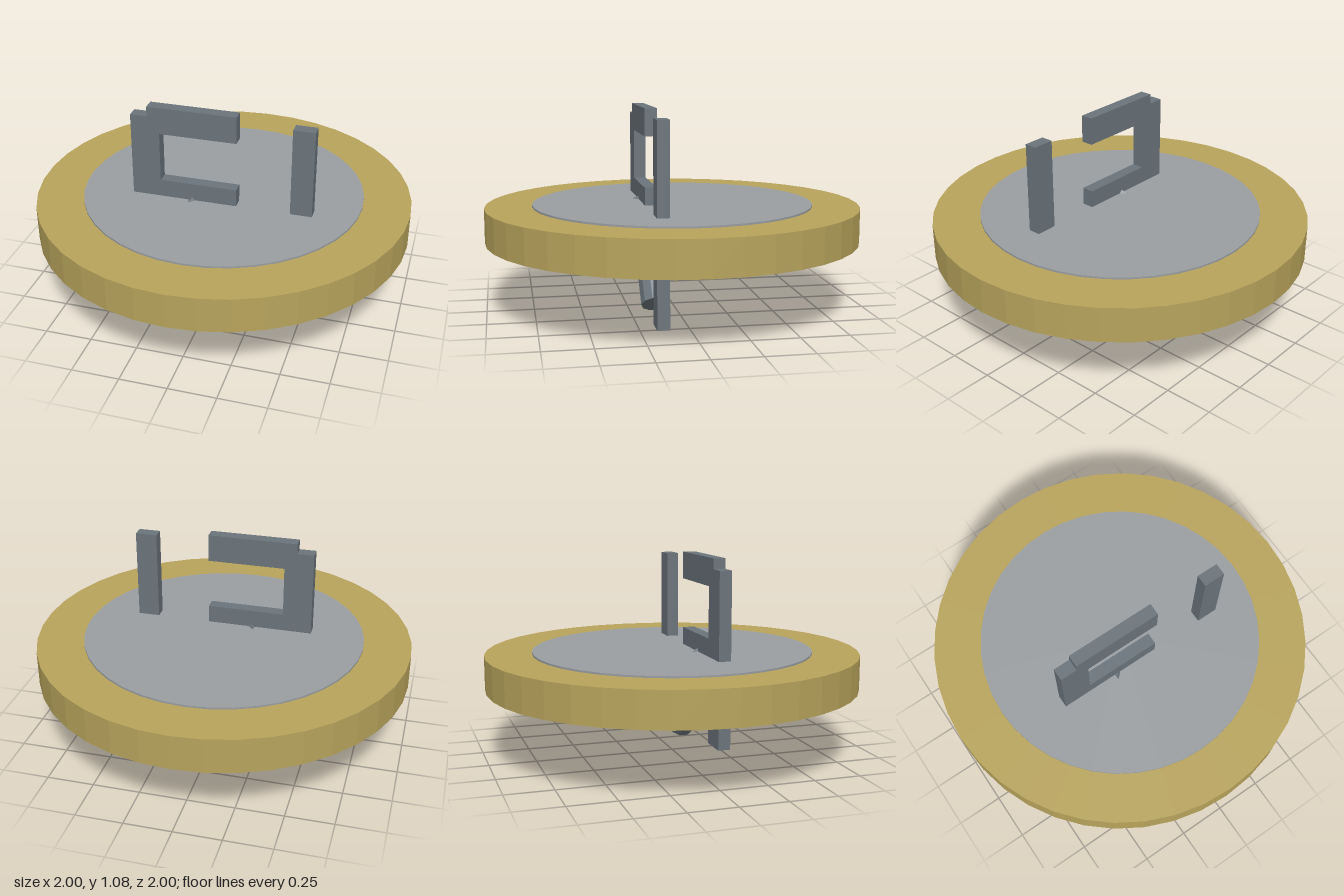
import * as THREE from 'three';

const material = (color) => new THREE.MeshStandardMaterial({ color, flatShading: true });

export function createModel() {
  const group = new THREE.Group();
  const gold = material(0xb8a45c);
  const silver = material(0x9a9ea1);
  const steel = material(0x6b747b);
  const barZ = 0.133;

  const add = (name, geometry, mat, x, y, z) => {
    const mesh = new THREE.Mesh(geometry, mat);
    mesh.name = name;
    mesh.position.set(x, y, z);
    group.add(mesh);
    return mesh;
  };

  // Box given by its left, right, bottom and top limits
  const bar = (name, x0, x1, y0, y1) =>
    add(name, new THREE.BoxGeometry(x1 - x0, y1 - y0, 0.065), steel,
      (x0 + x1) / 2, (y0 + y1) / 2, barZ);

  // Coin: wide outer disc with a slightly thicker inlay
  add('outerDisc', new THREE.CylinderGeometry(1, 1, 0.185, 40), gold, 0, 0.463, 0);
  add('innerDisc', new THREE.CylinderGeometry(0.75, 0.75, 0.205, 40), silver, 0, 0.463, 0);

  // Upright bars passing through the coin
  bar('leftUpright', -0.455, -0.3, 0.107, 1.022);
  bar('rightUpright', 0.4, 0.515, 0, 1.045);

  // Horizontal arms on the left upright
  bar('upperArm', -0.365, 0.112, 0.93, 1.076);
  bar('lowerArm', -0.365, 0.112, 0.514, 0.66);

  // Slanted rod whose upper edge just breaks the top face
  const start = new THREE.Vector3(0.249, 0.066, barZ);
  const end = new THREE.Vector3(-0.173, 0.54, barZ);
  const rod = add('slantedRod',
    new THREE.CylinderGeometry(0.074, 0.074, start.distanceTo(end), 10), steel,
    (start.x + end.x) / 2, (start.y + end.y) / 2, barZ);
  rod.rotation.z = Math.atan2(start.x - end.x, end.y - start.y);

  return group;
}
